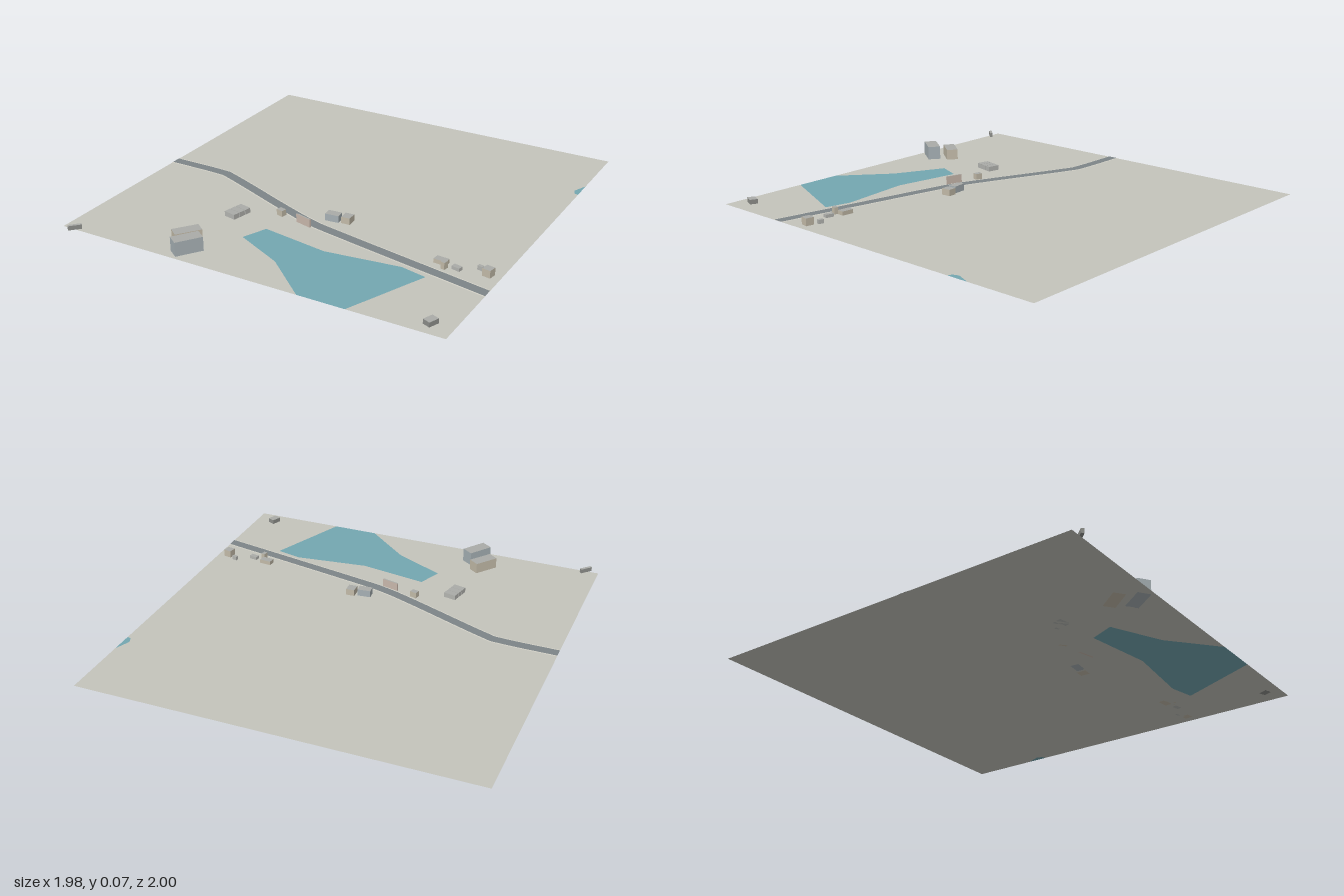
import * as THREE from 'three';

const X0 = -0.99, X1 = 0.985, Z0 = -1, Z1 = 0.97;

const paint = (color, side = THREE.FrontSide) =>
  new THREE.MeshStandardMaterial({ color, side, flatShading: true });

// Horizontal sheet from an [x, z] outline
function sheet(name, points, color, y = 0) {
  const shape = new THREE.Shape(points.map(([x, z]) => new THREE.Vector2(x, -z)));
  const geometry = new THREE.ShapeGeometry(shape).rotateX(-Math.PI / 2);
  const mesh = new THREE.Mesh(geometry, paint(color, THREE.DoubleSide));
  mesh.name = name;
  mesh.position.y = y;
  return mesh;
}

// Flat-roofed block standing on the ground, turned about y
function block(name, wallColor, [x, z], [width, height, depth], degrees) {
  const wall = paint(wallColor), roof = paint(0xaaaca8);
  const mesh = new THREE.Mesh(
    new THREE.BoxGeometry(width, height, depth),
    [wall, wall, roof, wall, wall, wall]
  );
  mesh.name = name;
  mesh.position.set(x, height / 2, z);
  mesh.rotation.y = THREE.MathUtils.degToRad(degrees);
  return mesh;
}

// Flat ribbon of constant width along a curve, ending flush with the ground's sides
function ribbon(name, curve, width, y, color) {
  const left = [], right = [], steps = 40;
  for (let i = 0; i <= steps; i++) {
    const p = curve.getPoint(i / steps), t = curve.getTangent(i / steps);
    const half = width / 2 / t.x;
    left.push([p.x, p.y + half]);
    right.unshift([p.x, p.y - half]);
  }
  return sheet(name, [...left, ...right], color, y);
}

export function createModel() {
  const model = new THREE.Group();
  model.name = 'landscape';

  // Water outlines, each starting and ending on the ground's border
  const lake = [[0.525, Z1], [0.695, 0.567], [0.565, 0.538], [0.195, 0.582],
    [-0.15, 0.526], [-0.2, 0.648], [0.055, 0.77], [0.29, Z1]];
  const pond = [[X1, -0.65], [0.953, -0.575], [0.964, -0.545], [X1, -0.537]];

  // Ground with the water cut out of its border
  model.add(sheet('ground', [[X0, Z0], [X1, Z0], ...pond, [X1, Z1], ...lake, [X0, Z1]], 0xc4c4bc));
  model.add(sheet('lake', lake, 0x74a7b1), sheet('pond', pond, 0x74a7b1));

  // Road on a paler verge
  const path = new THREE.SplineCurve([[X0, 0.105], [-0.71, 0.109], [-0.6, 0.135],
    [-0.2, 0.297], [0, 0.37], [0.19, 0.413], [X1, 0.565]]
    .map(([x, z]) => new THREE.Vector2(x, z)));
  model.add(ribbon('roadVerge', path, 0.064, 0.0008, 0xd2d0c6));
  model.add(ribbon('road', path, 0.05, 0.0016, 0x7d8588));

  const tan = 0xc2baa8, grey = 0xb4b5b1, dark = 0x8d8e8a, blue = 0xa6b0b4, pink = 0xc9b8ac;

  // Large halls and a small shed in the front left
  model.add(
    block('hall', tan, [-0.403, 0.797], [0.129, 0.055, 0.06], 53),
    block('tallHall', blue, [-0.342, 0.88], [0.134, 0.07, 0.065], 55),
    block('cornerShed', dark, [-0.923, 0.967], [0.065, 0.022, 0.015], 47)
  );

  // Row of three houses
  for (let i = 0; i < 3; i++) {
    model.add(block('rowHouse', grey, [-0.345 - 0.008 * i, 0.43 + 0.035 * i], [0.064, 0.025, 0.033], -12));
  }

  // Buildings along the middle of the road
  model.add(
    block('hut', tan, [-0.167, 0.368], [0.036, 0.03, 0.028], -14),
    block('roadsideWall', pink, [-0.023, 0.402], [0.089, 0.042, 0.008], -14),
    block('cottage', blue, [0.075, 0.29], [0.068, 0.035, 0.043], 5),
    block('cottageAnnex', tan, [0.144, 0.277], [0.044, 0.033, 0.049], 3)
  );

  // Hamlet at the right end of the road, and a house beyond the lake
  model.add(
    block('farmhouse', tan, [0.699, 0.417], [0.062, 0.02, 0.036], -5),
    block('farmTower', tan, [0.731, 0.455], [0.02, 0.034, 0.027], -13),
    block('barn', grey, [0.784, 0.438], [0.042, 0.016, 0.025], -12),
    block('shed', grey, [0.876, 0.389], [0.027, 0.02, 0.017], -13),
    block('house', tan, [0.925, 0.419], [0.042, 0.037, 0.04], -10),
    block('lakeHouse', dark, [0.881, 0.894], [0.039, 0.023, 0.052], -22)
  );

  return model;
}
